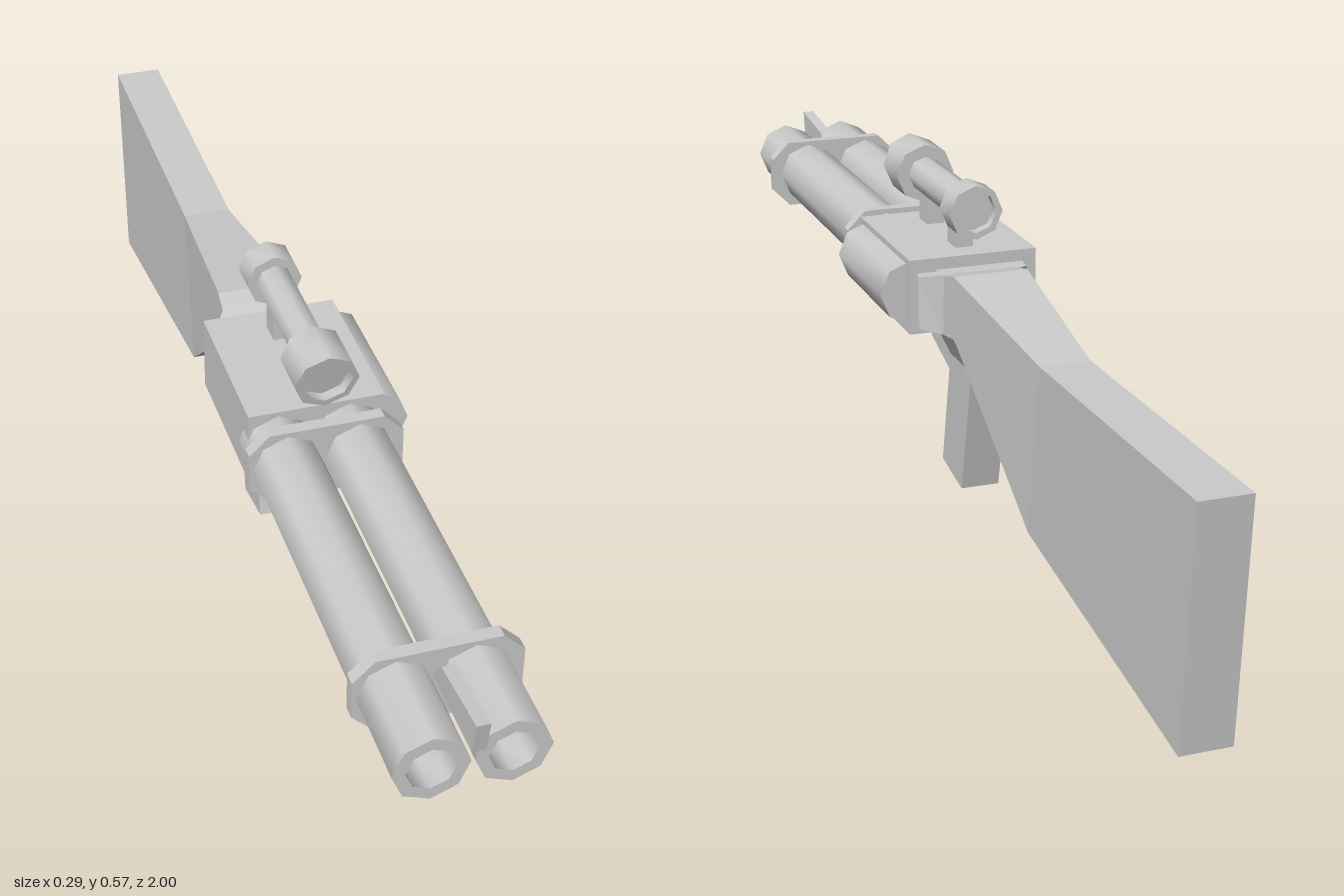
import * as THREE from 'three';
import { toCreasedNormals } from 'three/addons/utils/BufferGeometryUtils.js';

export function createModel() {
  const model = new THREE.Group();
  const gun = new THREE.Group();
  gun.name = 'doubleBarrelRifle';
  gun.position.x = -0.0165;
  model.add(gun);
  const material = new THREE.MeshStandardMaterial({ color: 0xcccccc, side: THREE.DoubleSide });

  function add(name, geometry, x = 0, y = 0, z = 0) {
    const mesh = new THREE.Mesh(geometry, material);
    mesh.name = name;
    mesh.position.set(x, y, z);
    gun.add(mesh);
    return mesh;
  }

  // Eight-sided turned part along z, from [radius, z] pairs; slant leans the front end
  function turned(points, slant = 0) {
    const g = new THREE.LatheGeometry(points.map(([r, z]) => new THREE.Vector2(r, z)), 8);
    g.rotateX(Math.PI / 2);
    if (slant) {
      const p = g.attributes.position;
      const middle = (points[0][1] + points[2][1]) / 2;
      for (let i = 0; i < p.count; i++) {
        if (p.getZ(i) > middle) p.setZ(i, p.getZ(i) + p.getY(i) * slant);
      }
    }
    return toCreasedNormals(g, 0.9);
  }

  const shapeFrom = (points) => new THREE.Shape(points.map(([a, b]) => new THREE.Vector2(a, b)));

  // Side profile in [z, y], extruded across x
  function sideProfile(points, width) {
    const g = new THREE.ExtrudeGeometry(shapeFrom(points), { depth: width, bevelEnabled: false });
    return g.translate(0, 0, -width / 2).rotateY(-Math.PI / 2);
  }

  // Loft of rectangles: each section is [zA, yA, zB, yB, halfWidth]
  function loft(sections) {
    const rings = sections.map(([za, ya, zb, yb, w]) => [[-w, ya, za], [w, ya, za], [w, yb, zb], [-w, yb, zb]]);
    const out = [];
    const quad = (a, b, c, d) => out.push(...a, ...b, ...c, ...a, ...c, ...d);
    for (let i = 0; i < rings.length - 1; i++) {
      const s = rings[i], t = rings[i + 1];
      for (let k = 0; k < 4; k++) {
        const n = (k + 1) % 4;
        quad(s[k], s[n], t[n], t[k]);
      }
    }
    const first = rings[0], last = rings[rings.length - 1];
    quad(first[0], first[3], first[2], first[1]);
    quad(last[0], last[1], last[2], last[3]);
    const g = new THREE.BufferGeometry();
    g.setAttribute('position', new THREE.Float32BufferAttribute(out, 3));
    g.computeVertexNormals();
    return g;
  }

  // Barrels with open muzzles
  for (const [name, x] of [['rightBarrel', -0.0645], ['leftBarrel', 0.0545]]) {
    add(name, turned([[0, 0.22], [0.057, 0.22], [0.057, 0.985], [0.037, 0.985], [0.037, 0.92], [0, 0.92]]), x, 0.371);
  }

  // Chamfered bands around both barrels
  const w = 0.128, h = 0.065, c = 0.033;
  const bandShape = shapeFrom([[-w, -h + c], [-w + c, -h], [w - c, -h], [w, -h + c], [w, h - c], [w - c, h], [-w + c, h], [-w, h - c]]);
  for (const [name, z] of [['rearBand', 0.284], ['frontBand', 0.81]]) {
    add(name, new THREE.ExtrudeGeometry(bandShape, { depth: 0.022, bevelEnabled: false }), 0, 0.37, z);
  }

  // Receiver block with a raised rim at the back
  add('receiver', new THREE.BoxGeometry(0.227, 0.131, 0.25), 0, 0.37, 0.125);
  const rimShape = shapeFrom([[-0.1135, -0.0655], [0.1135, -0.0655], [0.1135, 0.0655], [-0.1135, 0.0655]]);
  rimShape.holes.push(shapeFrom([[-0.1, -0.052], [-0.1, 0.052], [0.1, 0.052], [0.1, -0.052]]));
  add('receiverRim', new THREE.ExtrudeGeometry(rimShape, { depth: 0.03, bevelEnabled: false }), 0, 0.37, -0.03);
  add('sideChamber', turned([[0, -0.01], [0.057, -0.01], [0.057, 0.238], [0, 0.238]]), 0.102, 0.373);

  // Shoulder stock and pistol grip
  add('stock', loft([
    [0, 0.405, 0, 0.318, 0.1],
    [-0.03, 0.405, -0.03, 0.313, 0.097],
    [-0.075, 0.418, -0.07, 0.313, 0.068],
    [-0.115, 0.428, -0.12, 0.318, 0.065],
    [-0.445, 0.382, -0.405, 0.088, 0.042],
    [-1, 0.39, -0.973, 0, 0.042],
  ]));
  add('grip', loft([
    [-0.119, 0.32, -0.022, 0.32, 0.067],
    [-0.116, 0.255, -0.01, 0.255, 0.034],
    [-0.067, 0.025, 0.032, 0.043, 0.034],
  ]));

  // Trigger and its guard
  add('triggerGuard', sideProfile([[0.172, 0.31], [0.138, 0.236], [-0.003, 0.19], [-0.003, 0.223], [0.117, 0.262], [0.137, 0.31]], 0.034));
  add('trigger', sideProfile([[0.062, 0.31], [0.066, 0.28], [0.086, 0.268], [0.08, 0.254], [0.05, 0.27], [0.042, 0.31]], 0.018));

  // Telescopic sight on two posts
  const sx = 0.002, sy = 0.514;
  add('scopeTube', turned([[0, -0.01], [0.031, -0.01], [0.031, 0.23], [0, 0.23]]), sx, sy);
  add('scopeFrontBell', turned([[0, 0.217], [0.053, 0.217], [0.053, 0.296], [0.042, 0.296], [0.042, 0.276], [0, 0.276]], 0.2), sx, sy);
  add('scopeEyepiece', turned([[0, -0.032], [0.036, -0.032], [0.036, -0.05], [0.047, -0.05], [0.047, 0.002], [0, 0.002]]), sx, sy);
  for (const [name, z] of [['rearScopePost', 0.036], ['frontScopePost', 0.187]]) {
    add(name, new THREE.BoxGeometry(0.032, 0.07, 0.042), 0, 0.465, z);
  }

  // Blade sight between the muzzles
  add('frontSight', sideProfile([[1, 0.45], [0.865, 0.434], [0.832, 0.392], [0.99, 0.392]], 0.021));

  return model;
}
